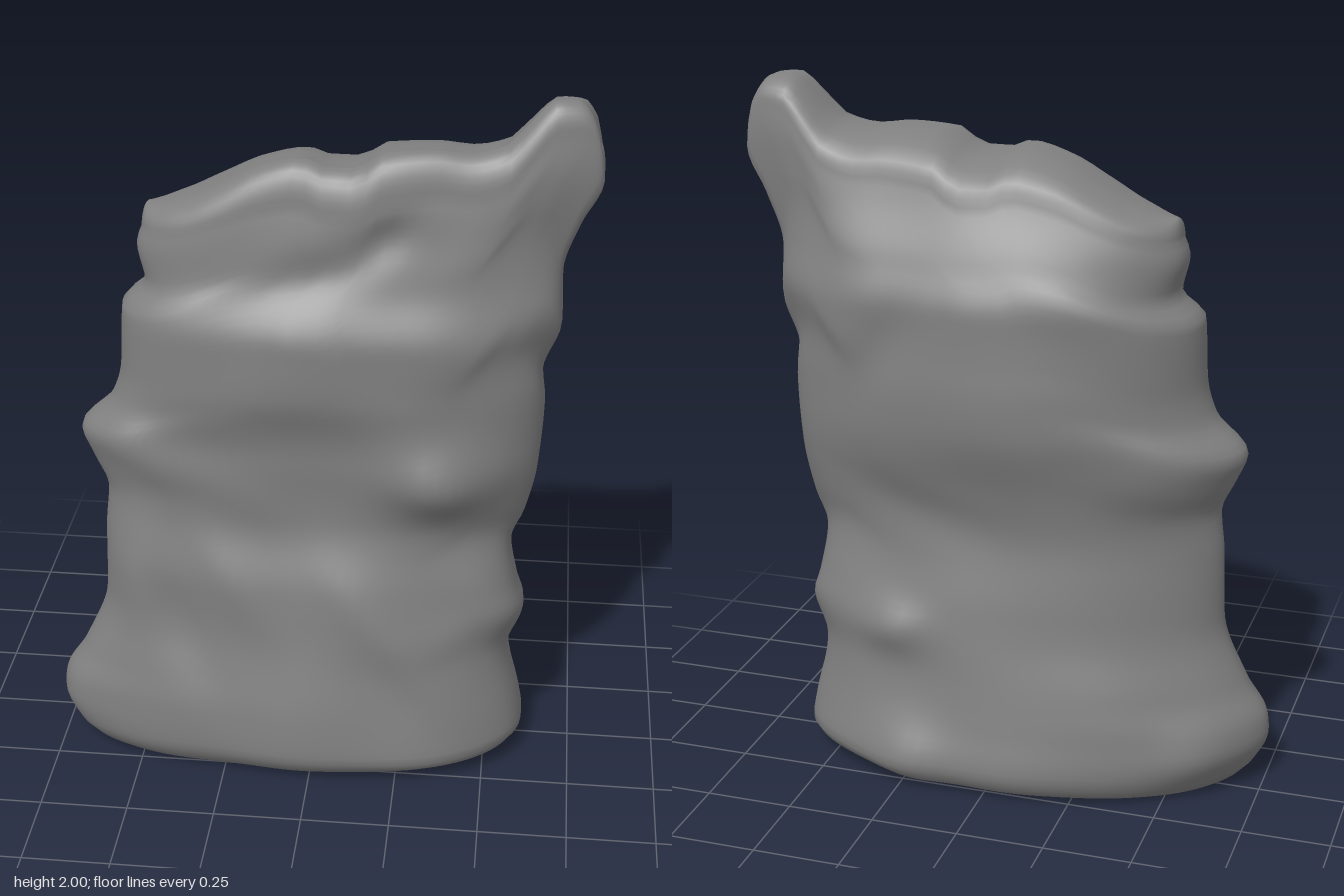
import * as THREE from 'three';

// Smooth curve without overshoot through [position, value] pairs
function profile(pairs) {
  const last = pairs.length - 1;
  const slope = (i) => (pairs[i + 1][1] - pairs[i][1]) / (pairs[i + 1][0] - pairs[i][0]);
  const tangents = pairs.map((_, i) => {
    if (i === 0 || i === last) return 0;
    const p = slope(i - 1), q = slope(i);
    return p * q > 0 ? (2 * p * q) / (p + q) : 0;
  });
  return (t) => {
    if (t <= pairs[0][0]) return pairs[0][1];
    if (t >= pairs[last][0]) return pairs[last][1];
    const i = pairs.findIndex((p) => p[0] > t) - 1;
    const [a, va] = pairs[i], [b, vb] = pairs[i + 1];
    const w = b - a, s = (t - a) / w, r = 1 - s;
    return r * r * (1 + 2 * s) * va + s * s * (3 - 2 * s) * vb + w * s * r * (r * tangents[i] - s * tangents[i + 1]);
  };
}

// Side outlines: x against height
const leftEdge = profile([[0, -0.67], [0.05, -0.71], [0.15, -0.755], [0.2, -0.75], [0.3, -0.69], [0.5, -0.615],
  [0.7, -0.61], [0.82, -0.6], [0.92, -0.64], [1, -0.67], [1.1, -0.58], [1.2, -0.55], [1.38, -0.54],
  [1.45, -0.475], [1.55, -0.495], [1.67, -0.455]]);
const rightEdge = profile([[0.03, 0.58], [0.08, 0.61], [0.15, 0.6], [0.35, 0.56], [0.48, 0.6], [0.55, 0.58],
  [0.7, 0.555], [0.8, 0.59], [0.95, 0.62], [1.15, 0.63], [1.25, 0.62], [1.4, 0.665], [1.55, 0.66],
  [1.7, 0.7], [1.83, 0.755], [1.95, 0.74]]);
// Crest height against x, rising to the horn
const crest = profile([[-0.455, 1.67], [-0.35, 1.7], [-0.25, 1.75], [-0.13, 1.81], [-0.02, 1.835], [0.04, 1.815],
  [0.12, 1.815], [0.19, 1.86], [0.33, 1.87], [0.42, 1.86], [0.51, 1.88], [0.57, 1.94], [0.64, 2],
  [0.7, 1.995], [0.735, 1.95], [0.755, 1.87]]);
// Half depths of the two faces against height
const frontDepth = profile([[0.03, 0.31], [0.08, 0.33], [0.2, 0.32], [0.4, 0.285], [0.6, 0.255], [0.8, 0.205],
  [1, 0.22], [1.2, 0.26], [1.35, 0.26], [1.5, 0.2], [1.6, 0.175], [1.78, 0.14], [1.95, 0.1]]);
const backDepth = profile([[0.03, 0.29], [0.08, 0.305], [0.2, 0.285], [0.4, 0.26], [0.55, 0.235], [0.75, 0.205],
  [0.9, 0.23], [1.1, 0.27], [1.25, 0.285], [1.42, 0.28], [1.55, 0.23], [1.7, 0.165], [1.85, 0.12], [1.95, 0.1]]);
// Sharpness of the right end against rise: thin below, blunt at the horn
const rightSharpness = profile([[0, 0.85], [0.5, 0.88], [0.78, 0.9], [0.97, 0.42]]);

// Lumps and hollows: x, y, radius along, radius across, angle, height
const frontLumps = [
  [0.36, 0.95, 0.15, 0.12, -0.2, 0.085],
  [-0.45, 0.98, 0.3, 0.08, -0.4, 0.03],
  [-0.5, 0.65, 0.14, 0.25, 0, 0.045],
  [-0.05, 1.1, 0.2, 0.1, 0, -0.02],
  [0.02, 1.54, 0.16, 0.06, 0.3, -0.025],
  [0.2, 1.65, 0.07, 0.05, 0.8, -0.025],
  [0.2, 1.72, 0.12, 0.07, 0, 0.02],
  [-0.25, 0.66, 0.28, 0.07, -1, 0.02],
  [-0.36, 0.45, 0.25, 0.07, -1.1, -0.02],
  [0.25, 0.42, 0.28, 0.06, -0.9, 0.02],
  [0.42, 0.5, 0.22, 0.07, -0.9, -0.02],
];
const backLumps = [
  [0.05, 1.08, 0.22, 0.14, 0.2, 0.015],
  [0.25, 0.85, 0.2, 0.07, 0.3, -0.015],
  [-0.45, 0.95, 0.16, 0.1, 0, 0.02],
  [0.28, 0.48, 0.1, 0.07, 0, 0.035],
  [0.23, 0.1, 0.12, 0.12, 0, 0.035],
  [0.3, 1.3, 0.08, 0.14, 0.5, -0.02],
  [-0.6, 0.14, 0.11, 0.1, 0, 0.03],
  [-0.2, 1.5, 0.2, 0.09, 0.5, 0.015],
];
function relief(lumps, x, y) {
  let sum = 0;
  for (const [cx, cy, ra, rb, angle, h] of lumps) {
    const c = Math.cos(angle), s = Math.sin(angle);
    const p = ((x - cx) * c + (y - cy) * s) / ra, q = ((y - cy) * c - (x - cx) * s) / rb;
    sum += h * Math.exp(-p * p - q * q);
  }
  return sum + 0.006 * Math.sin(10 * x + 4 * y + 1) * Math.sin(9 * y - 6 * x);
}

const { lerp } = THREE.MathUtils;

// Point on the stone: v climbs the sides, angle runs around, t closes the crest
function stonePoint(v, angle, t) {
  const u = Math.cos(angle), side = Math.abs(Math.sin(angle));
  const front = Math.sin(angle) >= 0;
  const cap = 0.06 + 0.06 * side * side;
  const y = 0.05 + v * (crest(0.15 + 0.605 * u) - cap - 0.05);
  const l = leftEdge(0.05 + v * 1.55), r = rightEdge(0.05 + v * 1.8);
  const squeeze = Math.pow(Math.max(0, Math.cos(t)), 0.85);
  const x = (l + r) / 2 + ((r - l) / 2) * u * (0.97 + 0.03 * squeeze);
  // The left end tapers to a point
  const sharp = lerp(lerp(front ? 1 : 1.15, 0.8, v * v), rightSharpness(v), (u + 1) / 2);
  const skew = 1 + (front ? 0.12 : 0.06) * u * (1 - v);
  const depth = (front ? frontDepth(y) : backDepth(y)) * Math.pow(side, sharp) * skew;
  const bump = relief(front ? frontLumps : backLumps, x, y) * Math.min(1, side * 1.8);
  const drift = u < 0 ? u * u * lerp(0.085, 0.02, v) : 0;
  const z = (front ? 1 : -1) * (depth + bump) + drift;
  // The crest line runs along the front, so the back of the top slopes
  const ridge = 0.09 * side * side;
  return [x, y + cap * Math.sin(t), lerp(ridge, z, squeeze)];
}

function createStoneGeometry() {
  const SEG = 96, ROWS = 72, CAPROWS = 8;
  const rings = [];
  const ring = (fn) => rings.push(Array.from({ length: SEG }, (_, i) => fn((i / SEG) * Math.PI * 2)));

  // Underside, rolling out to the bottom rim
  for (const [scale, drop] of [[0.001, 0.04], [0.5, 0.04], [0.85, 0.036], [0.95, 0.022]]) {
    ring((a) => {
      const [x, y, z] = stonePoint(0, a, 0);
      return [-0.05 + (x + 0.05) * scale, y - drop + 0.012 * Math.cos(a) * scale, z * scale];
    });
  }
  // Sides
  for (let j = 0; j <= ROWS; j++) ring((a) => stonePoint(j / ROWS, a, 0));
  // Crest, closing on a ridge line
  for (let j = 1; j <= CAPROWS; j++) ring((a) => stonePoint(1, a, (j / CAPROWS) * Math.PI / 2));

  const index = [];
  for (let j = 0; j < rings.length - 1; j++) {
    for (let i = 0; i < SEG; i++) {
      const k = (i + 1) % SEG;
      const a = j * SEG + i, b = j * SEG + k, c = a + SEG, d = b + SEG;
      index.push(a, c, b, b, c, d);
    }
  }
  const geometry = new THREE.BufferGeometry();
  geometry.setAttribute('position', new THREE.Float32BufferAttribute(rings.flat(2), 3));
  geometry.setIndex(index);
  geometry.computeVertexNormals();
  return geometry;
}

export function createModel() {
  const group = new THREE.Group();
  group.name = 'standingStone';
  const stone = new THREE.Mesh(createStoneGeometry(), new THREE.MeshStandardMaterial({ color: 0x808080 }));
  stone.name = 'stoneBody';
  group.add(stone);
  return group;
}
